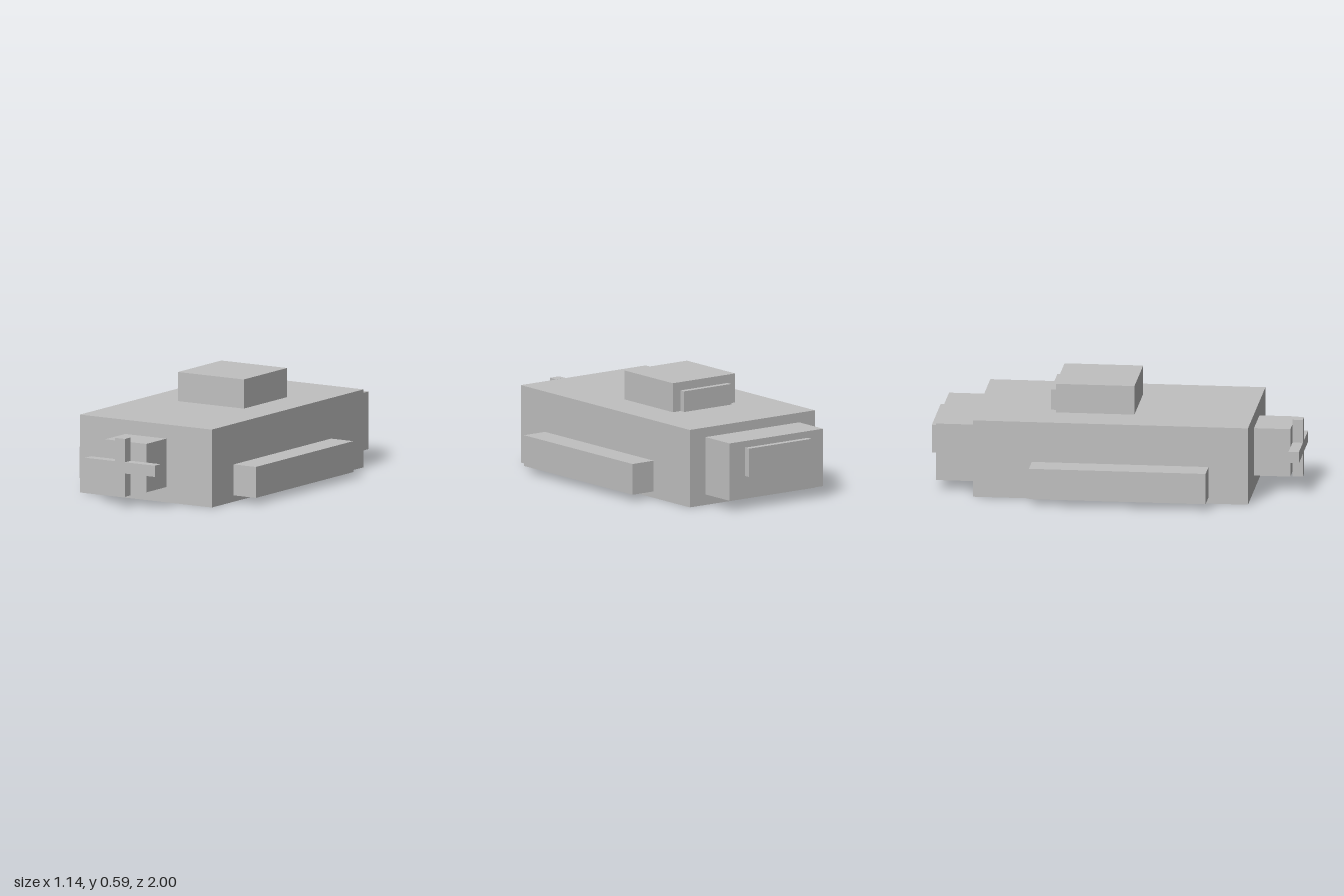
import * as THREE from 'three';

const grey = new THREE.MeshStandardMaterial({ color: 0xc0c0c0 });
grey.name = 'light grey';

export function createModel() {
  const model = new THREE.Group();
  model.name = 'blockVehicle';

  // Box given by its extents along each axis
  const block = (name, [x0, x1], [y0, y1], [z0, z1], parent = model) => {
    const mesh = new THREE.Mesh(new THREE.BoxGeometry(x1 - x0, y1 - y0, z1 - z0), grey);
    mesh.position.set((x0 + x1) / 2, (y0 + y1) / 2, (z0 + z1) / 2);
    mesh.name = name;
    parent.add(mesh);
  };
  const span = (half) => [-half, half];

  // Main body
  block('hull', span(0.427), [0, 0.428], [-0.753, 0.745]);

  // Side pods
  block('leftPod', [0.427, 0.571], [0.035, 0.205], [-0.432, 0.53]);
  block('rightPod', [-0.571, -0.427], [0.035, 0.205], [-0.432, 0.53]);

  // Top cabin with its rear panel
  block('cabin', span(0.213), [0.428, 0.588], [-0.325, 0.103]);
  block('cabinRearPanel', span(0.161), [0.428, 0.542], [-0.358, -0.325]);

  // Rear block with its panel
  block('rearBlock', span(0.32), [0.058, 0.375], [-0.966, -0.753]);
  block('rearPanel', span(0.214), [0.182, 0.338], [-1, -0.966]);

  // Nose
  block('nose', span(0.133), [0.084, 0.35], [0.745, 0.943]);

  // Crossed propeller: one long blade and two vertical ones meeting it
  const propeller = new THREE.Group();
  propeller.name = 'propeller';
  model.add(propeller);
  const depth = [0.943, 1];
  block('crossBlade', span(0.225), [0.186, 0.248], depth, propeller);
  block('upperBlade', span(0.032), [0.248, 0.376], depth, propeller);
  block('lowerBlade', span(0.032), [0.058, 0.186], depth, propeller);

  return model;
}
